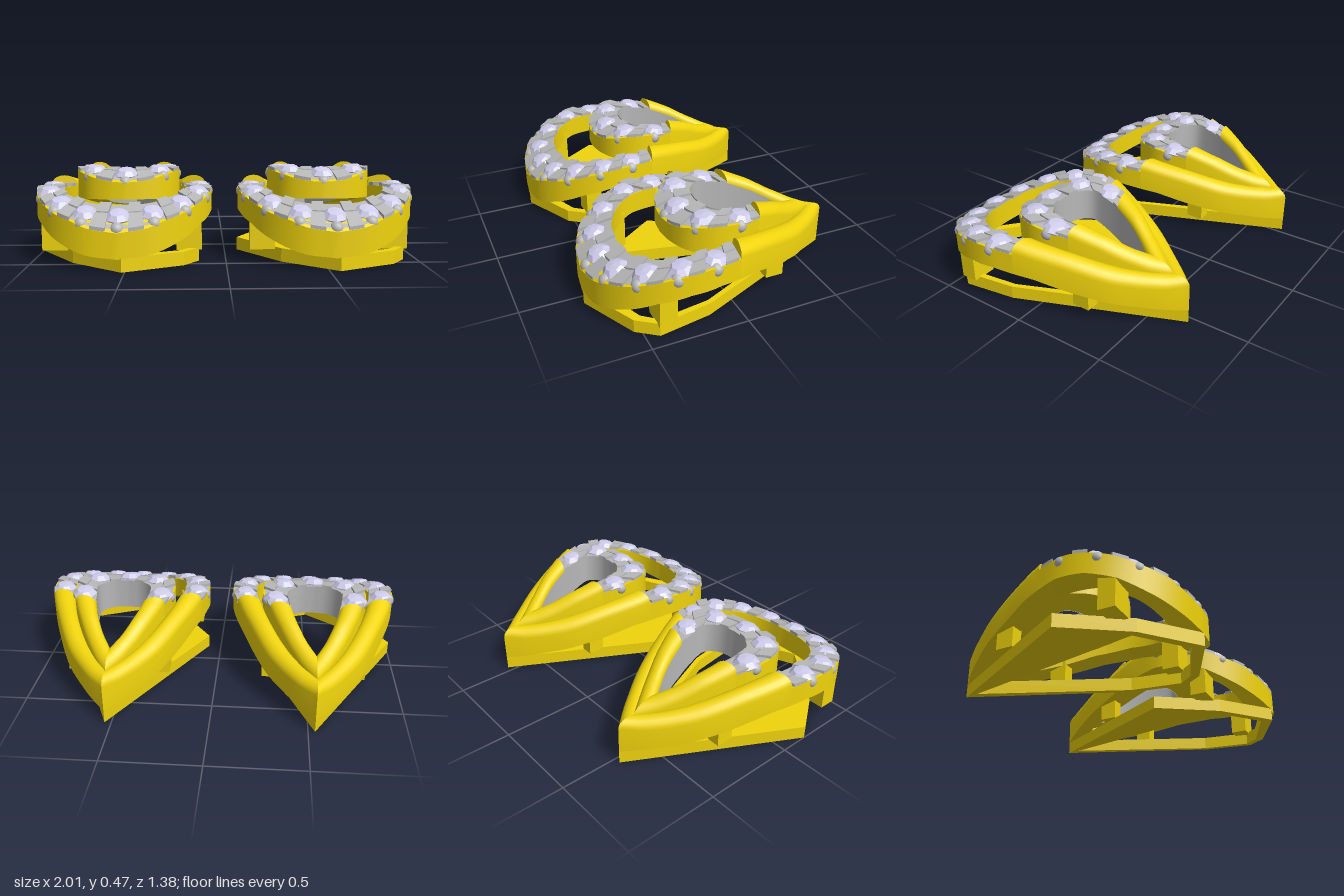
import * as THREE from 'three';
import { toCreasedNormals } from 'three/addons/utils/BufferGeometryUtils.js';

const gold = new THREE.MeshStandardMaterial({ color: 0xf0d40c });
const silver = new THREE.MeshStandardMaterial({ color: 0xb8b8b8, side: THREE.DoubleSide });
const gem = new THREE.MeshStandardMaterial({ color: 0xcfcdec, flatShading: true });

// right half of a teardrop outline in plan, from the tip round to the foot: [x, z]
const half = (pts) => new THREE.CatmullRomCurve3(pts.map(([x, z]) => new THREE.Vector3(x, 0, z)));
// point on the whole outline, u = 0..1 (second half is the mirror of the first)
function outlinePoint(curve, u) {
  const p = curve.getPointAt(Math.min(1, u <= 0.5 ? 2 * u : 2 - 2 * u));
  if (u > 0.5) p.x = -p.x;
  return p;
}
// height table [z, y], linear between entries
function height(table, z) {
  for (let i = 1; i < table.length; i++) {
    const [z0, y0] = table[i - 1], [z1, y1] = table[i];
    if (z <= z1 || i === table.length - 1) {
      return y0 + (y1 - y0) * THREE.MathUtils.clamp((z - z0) / (z1 - z0), 0, 1);
    }
  }
}

const outerRing = {
  name: 'outerRing', split: 0.242, bulge: 0.05, stones: 9, first: 0.284, stoneRadius: 0.066,
  outer: half([[0, -0.69], [0.085, -0.6], [0.16, -0.505], [0.25, -0.375], [0.34, -0.19], [0.43, 0.04],
    [0.465, 0.22], [0.43, 0.4], [0.32, 0.56], [0.17, 0.655], [0, 0.685]]),
  inner: half([[0, -0.55], [0.08, -0.45], [0.17, -0.3], [0.25, -0.12], [0.305, 0.06], [0.325, 0.21],
    [0.305, 0.33], [0.23, 0.42], [0.13, 0.475], [0, 0.49]]),
  top: [[-0.69, 0.21], [-0.6, 0.205], [-0.5, 0.218], [-0.4, 0.24], [-0.2, 0.3], [0.04, 0.36], [0.2, 0.373],
    [0.3, 0.362], [0.4, 0.342], [0.5, 0.307], [0.63, 0.255], [0.69, 0.2]],
  bottom: [[-0.69, 0.07], [-0.4, 0.13], [-0.2, 0.18], [-0.05, 0.225], [0.15, 0.25], [0.3, 0.24],
    [0.45, 0.2], [0.6, 0.12], [0.69, 0.06]],
};
const innerRing = {
  name: 'innerRing', split: 0.23, bulge: 0.045, stones: 5, first: 0.29, stoneRadius: 0.068,
  outer: half([[0, -0.6], [0.09, -0.47], [0.19, -0.29], [0.255, -0.13], [0.285, 0], [0.27, 0.1],
    [0.2, 0.2], [0.1, 0.25], [0, 0.265]]),
  inner: half([[0, -0.45], [0.06, -0.35], [0.11, -0.23], [0.145, -0.09], [0.15, 0], [0.125, 0.04],
    [0.075, 0.07], [0, 0.08]]),
  top: [[-0.6, 0.235], [-0.5, 0.265], [-0.4, 0.31], [-0.3, 0.365], [-0.155, 0.425], [0, 0.452], [0.1, 0.455],
    [0.2, 0.435], [0.27, 0.4]],
  bottom: [[-0.6, 0.14], [-0.2, 0.22], [0, 0.28], [0.27, 0.3]],
};

// point on a ring: s = 0 at the outer wall, 1 at the inner wall
function ringPoint(ring, u, s) {
  return outlinePoint(ring.outer, u).lerp(outlinePoint(ring.inner, u), s);
}

// sweep a cross-section along part of a ring; section(u) returns a loop that
// runs outer bottom, outer top, across, inner bottom
function sweep(u0, u1, steps, section, closed = true) {
  const pos = [], idx = [];
  let n = 0;
  for (let i = 0; i <= steps; i++) {
    const loop = section(u0 + (u1 - u0) * i / steps);
    n = loop.length;
    loop.forEach((p) => pos.push(p.x, p.y, p.z));
  }
  for (let i = 0; i < steps; i++) {
    for (let j = 0; j < (closed ? n : n - 1); j++) {
      const a = i * n + j, b = i * n + (j + 1) % n;
      idx.push(a, b, a + n, b, b + n, a + n);
    }
  }
  if (closed) {
    const e = steps * n;
    for (let k = 1; k < n - 1; k++) idx.push(0, k + 1, k, e, e + k, e + k + 1);
  }
  const g = new THREE.BufferGeometry();
  g.setAttribute('position', new THREE.Float32BufferAttribute(pos, 3));
  g.setIndex(idx);
  return toCreasedNormals(g, 0.6);
}

function add(group, name, geometry, material) {
  const mesh = new THREE.Mesh(geometry, material);
  mesh.name = name;
  group.add(mesh);
  return mesh;
}

function buildRing(ring) {
  const group = new THREE.Group();
  group.name = ring.name;
  const topAt = (u, s, lift = 0) => {
    const p = ringPoint(ring, u, s);
    p.y = height(ring.top, p.z) + lift;
    return p;
  };
  const bottomAt = (u, s) => {
    const p = ringPoint(ring, u, s);
    p.y = height(ring.bottom, p.z);
    return p;
  };
  const body = (bulge, drop) => (u) => {
    const loop = [bottomAt(u, 0)];
    for (let k = 0; k <= 10; k++) {
      const s = (1 - Math.cos(Math.PI * k / 10)) / 2;
      loop.push(topAt(u, s, bulge * Math.sin(Math.PI * k / 10) - drop));
    }
    loop.push(bottomAt(u, 1));
    return loop;
  };
  // rounded arms meeting at the tip, and the flat-topped stone band
  add(group, 'leftArm', sweep(0, ring.split, 24, body(ring.bulge, 0)), gold);
  add(group, 'rightArm', sweep(1 - ring.split, 1, 24, body(ring.bulge, 0)), gold);
  add(group, 'stoneBand', sweep(ring.split, 1 - ring.split, 48, body(0, 0.012)), gold);

  // grey setting floor over the band
  add(group, 'settingFloor', sweep(ring.split, 1 - ring.split, 48,
    (u) => [0.06, 0.35, 0.65, 1].map((s) => topAt(u, s, -0.008)), false), silver);

  // raised tiles between the stones, one outer and one inner in each gap
  const tile = (u0, u1, s0, s1) => add(group, 'settingTile', sweep(u0, u1, 2,
    (u) => [topAt(u, s0, -0.02), topAt(u, s0, 0.006), topAt(u, s1, 0.006), topAt(u, s1, -0.02)]), silver);
  const step = (1 - 2 * ring.first) / (ring.stones - 1);
  for (let k = -1; k < ring.stones; k++) {
    const u = ring.first + k * step;
    const a = Math.max(u + 0.3 * step, ring.split), b = Math.min(u + 0.7 * step, 1 - ring.split);
    tile(a, b, 0.004, 0.47);
    tile(a, b, 0.53, 0.996);
  }

  // faceted stones sunk between the tiles, with round seats flush in the outer wall
  const r = ring.stoneRadius;
  const cut = new THREE.LatheGeometry([[0, -0.8], [0.96, -0.1], [1, 0.02], [0.62, 0.38], [0, 0.45]]
    .map(([x, y]) => new THREE.Vector2(x * r, y * r)), 8);
  const seatShape = new THREE.SphereGeometry(0.036, 14, 10);
  for (let k = 0; k < ring.stones; k++) {
    const u = ring.first + k * step;
    const stone = add(group, 'stone', cut, gem);
    const p = topAt(u, 0.48, -0.01);
    const slope = (height(ring.top, p.z + 0.04) - height(ring.top, p.z - 0.04)) / 0.08;
    stone.position.copy(p);
    stone.rotation.x = -Math.atan(slope);
    add(group, 'stoneSeat', seatShape, silver).position.copy(topAt(u, 0.19, -0.034));
  }

  // grey lining of the small opening
  if (ring === innerRing) {
    add(group, 'lining', sweep(0, 1, 72, (u) => [topAt(u, 1.015, -0.002), bottomAt(u, 1.015)], false), silver);
  }
  return group;
}

function buildEarring(name) {
  const group = new THREE.Group();
  group.name = name;
  group.add(buildRing(outerRing), buildRing(innerRing));

  // flat base frame: slim bars on one side, a solid wedge on the other
  const toPts = (list) => list.map(([x, z]) => new THREE.Vector2(x, z));
  const shape = new THREE.Shape(toPts([[0, -0.69], [0.35, 0.15], [0.395, 0.43], [0.32, 0.535], [0.02, 0.685],
    [-0.25, 0.465], [-0.465, 0.15]]));
  shape.holes.push(new THREE.Path(toPts([[-0.01, -0.61], [-0.23, 0.43], [0.01, 0.62], [0.3, 0.495],
    [0.36, 0.42], [0.322, 0.15]])));
  const base = new THREE.ExtrudeGeometry(shape, { depth: 0.07, bevelEnabled: false });
  base.rotateX(Math.PI / 2).translate(0, 0.07, 0);
  add(group, 'baseFrame', base, gold);

  // posts between frame and ring
  for (const side of [-1, 1]) {
    const front = add(group, 'frontPost', new THREE.BoxGeometry(0.13, 0.21, 0.09), gold);
    front.position.set(side * 0.345, 0.165, 0.395);
    const rear = add(group, 'rearPost', new THREE.BoxGeometry(0.07, 0.14, 0.095), gold);
    rear.position.set(side * 0.245, 0.14, -0.245);
  }
  return group;
}

export function createModel() {
  const model = new THREE.Group();
  model.name = 'earringPair';
  for (const side of [-1, 1]) {
    const earring = buildEarring(side > 0 ? 'leftEarring' : 'rightEarring');
    earring.position.x = side * 0.535;
    model.add(earring);
  }
  return model;
}
